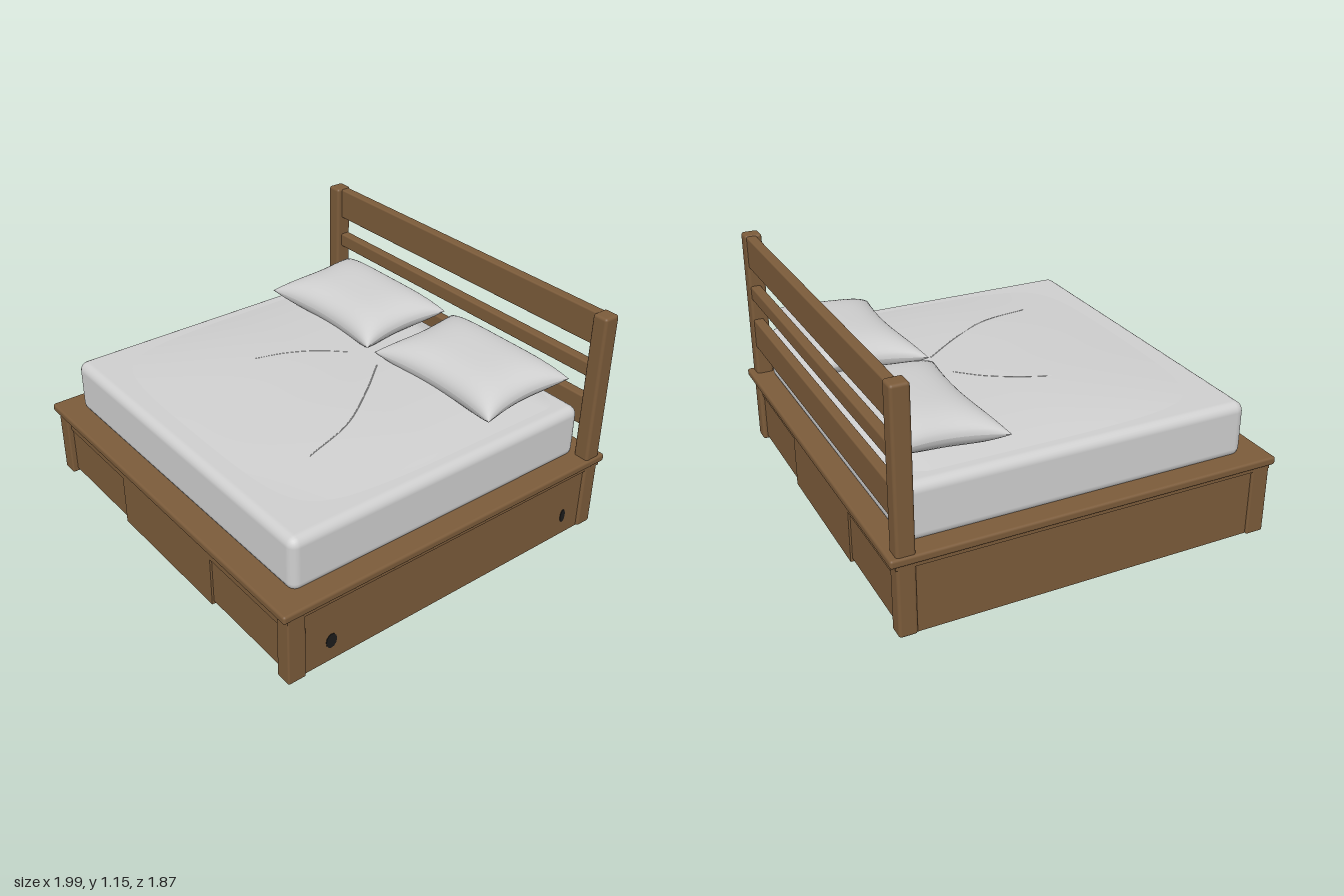
import * as THREE from 'three';
import { RoundedBoxGeometry } from 'three/addons/geometries/RoundedBoxGeometry.js';

const wood = new THREE.MeshStandardMaterial({ color: 0x7b5b3a });
wood.name = 'wood';
const fabric = new THREE.MeshStandardMaterial({ color: 0xcfcfcf });
fabric.name = 'fabric';
const dark = new THREE.MeshStandardMaterial({ color: 0x1c1c1c });
dark.name = 'dark slats';

// Box given by its minimum and maximum corners, optionally rounded
function block(parent, name, mat, [x0, y0, z0], [x1, y1, z1], r = 0) {
  const s = [x1 - x0, y1 - y0, z1 - z0];
  const geo = r ? new RoundedBoxGeometry(...s, 3, r) : new THREE.BoxGeometry(...s);
  const mesh = new THREE.Mesh(geo, mat);
  mesh.name = name;
  mesh.position.set((x0 + x1) / 2, (y0 + y1) / 2, (z0 + z1) / 2);
  parent.add(mesh);
  return mesh;
}

function subgroup(parent, name) {
  const g = new THREE.Group();
  g.name = name;
  parent.add(g);
  return g;
}

// Height of the gently crowned cover over the mattress
function coverHeight(x, z) {
  const u = Math.min(1, Math.abs(x) / 0.86);
  const t = THREE.MathUtils.clamp((0.78 - z) / 0.85, 0, 1);
  const back = THREE.MathUtils.clamp((z + 0.82) / 0.12, 0, 1);
  return 0.645 + 0.05 * (1 - u ** 3) * Math.sin(t * Math.PI / 2) * back;
}

// Closed cushion: two grids meeting at a pinched seam
function pillowGeometry() {
  const n = 28, pos = [], idx = [];
  for (const side of [1, -1]) {
    const base = pos.length / 3;
    for (let j = 0; j <= n; j++) {
      for (let i = 0; i <= n; i++) {
        // Cosine spacing gathers rows near the seam
        const u = -Math.cos(Math.PI * i / n), v = -Math.cos(Math.PI * j / n);
        const x = u * (0.395 - 0.045 * (1 - v * v));
        const z = v * (0.255 - (v > 0 ? 0.045 : 0.005) * (1 - u * u));
        const puff = Math.sqrt((1 - u ** 4) * (1 - Math.abs(v) ** 3.2));
        const seam = 0.75 - 0.02 * v;
        pos.push(x, seam + side * (side > 0 ? 0.092 : 0.095) * puff, z);
      }
    }
    for (let j = 0; j < n; j++) {
      for (let i = 0; i < n; i++) {
        const a = base + j * (n + 1) + i, b = a + 1, c = a + n + 1, d = c + 1;
        if (side > 0) idx.push(a, c, b, b, c, d);
        else idx.push(a, b, c, b, d, c);
      }
    }
  }
  const geo = new THREE.BufferGeometry();
  geo.setAttribute('position', new THREE.Float32BufferAttribute(pos, 3));
  geo.setIndex(idx);
  geo.computeVertexNormals();
  return geo;
}

function buildBase(bed) {
  const base = subgroup(bed, 'base');
  block(base, 'rim', wood, [-0.995, 0.362, -0.935], [0.995, 0.402, 0.935], 0.012);
  block(base, 'rimMoulding', wood, [-0.985, 0.345, -0.91], [0.985, 0.37, 0.91]);

  for (const s of [-1, 1]) {
    // Corner posts, the rear pair continuing up into the headboard
    const x0 = s > 0 ? 0.905 : -0.985, x1 = x0 + 0.08;
    block(base, 'frontPost', wood, [x0, 0.015, 0.82], [x1, 0.37, 0.91], 0.008);
    block(base, 'rearPost', wood, [x0, 0.015, -0.905], [x1, 1.148, -0.82], 0.014);

    // Side panels
    const p0 = s > 0 ? 0.93 : -0.972;
    block(base, 'sidePanel', wood, [p0, 0.018, -0.825], [p0 + 0.042, 0.36, 0.825]);

    // Front and back: upper board, centre board and two inset drawers
    const a = s > 0 ? 0.845 : -0.89, b = a + 0.045;
    block(base, 'upperBoard', wood, [-0.91, 0.272, a], [0.91, 0.36, b]);
    block(base, 'centreBoard', wood, [-0.38, 0.015, a], [0.38, 0.275, b]);
    for (const d of [-1, 1]) {
      const l = d > 0 ? 0.384 : -0.91;
      block(base, 'drawerFront', wood,
        [l, 0.035, a + (s > 0 ? 0 : 0.008)], [l + 0.526, 0.268, b - (s > 0 ? 0.008 : 0)]);
    }
  }

  // Small dark openings on the left side panel
  for (const [z, w, h] of [[0.68, 0.028, 0.038], [-0.712, 0.016, 0.036]]) {
    const hole = new THREE.Mesh(new THREE.CylinderGeometry(1, 1, 0.004, 12), dark);
    hole.name = 'sideOpening';
    hole.rotation.z = -Math.PI / 2;
    hole.scale.set(h, 1, w);
    hole.position.set(0.973, 0.125, z);
    base.add(hole);
  }
}

function buildUnderside(bed) {
  const under = subgroup(bed, 'underside');
  block(under, 'bottomPlate', dark, [-0.93, 0.045, -0.85], [0.93, 0.06, 0.85]);
  for (let i = 0; i < 11; i++) {
    const z = -0.76 + i * 0.152;
    block(under, 'slat', dark, [-0.92, 0.016, z - 0.045], [0.92, 0.05, z + 0.045]);
  }
  for (const x of [-0.4, 0.4]) {
    block(under, 'beam', dark, [x - 0.03, 0, -0.84], [x + 0.03, 0.05, 0.84]);
  }
}

function buildHeadboard(bed) {
  const head = subgroup(bed, 'headboard');
  for (const [name, y0, y1] of [['topRail', 0.98, 1.142], ['middleRail', 0.81, 0.882], ['lowerRail', 0.55, 0.702]]) {
    block(head, name, wood, [-0.92, y0, -0.898], [0.92, y1, -0.848], 0.008);
  }
}

function buildBedding(bed) {
  const bedding = subgroup(bed, 'bedding');
  block(bedding, 'mattress', fabric, [-0.895, 0.385, -0.835], [0.895, 0.655, 0.82], 0.045);

  // Crowned top of the cover
  const top = new THREE.PlaneGeometry(1.74, 1.6, 40, 40).rotateX(-Math.PI / 2);
  const p = top.attributes.position;
  for (let i = 0; i < p.count; i++) {
    const z = p.getZ(i) - 0.01;
    p.setXYZ(i, p.getX(i), coverHeight(p.getX(i), z) + 0.003, z);
  }
  top.computeVertexNormals();
  const cover = new THREE.Mesh(top, fabric);
  cover.name = 'cover';
  bedding.add(cover);

  // Soft fold lines across the cover
  const folds = [
    [[-0.1, -0.25], [-0.2, -0.14], [-0.28, 0.0], [-0.33, 0.14]],
    [[0.09, -0.28], [0.25, -0.08], [0.4, 0.15], [0.48, 0.42]],
  ];
  for (const pts of folds) {
    const curve = new THREE.CatmullRomCurve3(
      pts.map(([x, z]) => new THREE.Vector3(x, coverHeight(x, z) + 0.002, z)));
    const fold = new THREE.Mesh(new THREE.TubeGeometry(curve, 24, 0.003, 6), fabric);
    fold.name = 'coverFold';
    bedding.add(fold);
  }

  const geo = pillowGeometry();
  for (const s of [-1, 1]) {
    const pillow = new THREE.Mesh(geo, fabric);
    pillow.name = s > 0 ? 'leftPillow' : 'rightPillow';
    pillow.position.set(s * 0.422, 0, -0.57);
    bedding.add(pillow);
  }
}

export function createModel() {
  const bed = new THREE.Group();
  bed.name = 'bed';
  buildBase(bed);
  buildUnderside(bed);
  buildHeadboard(bed);
  buildBedding(bed);
  return bed;
}
